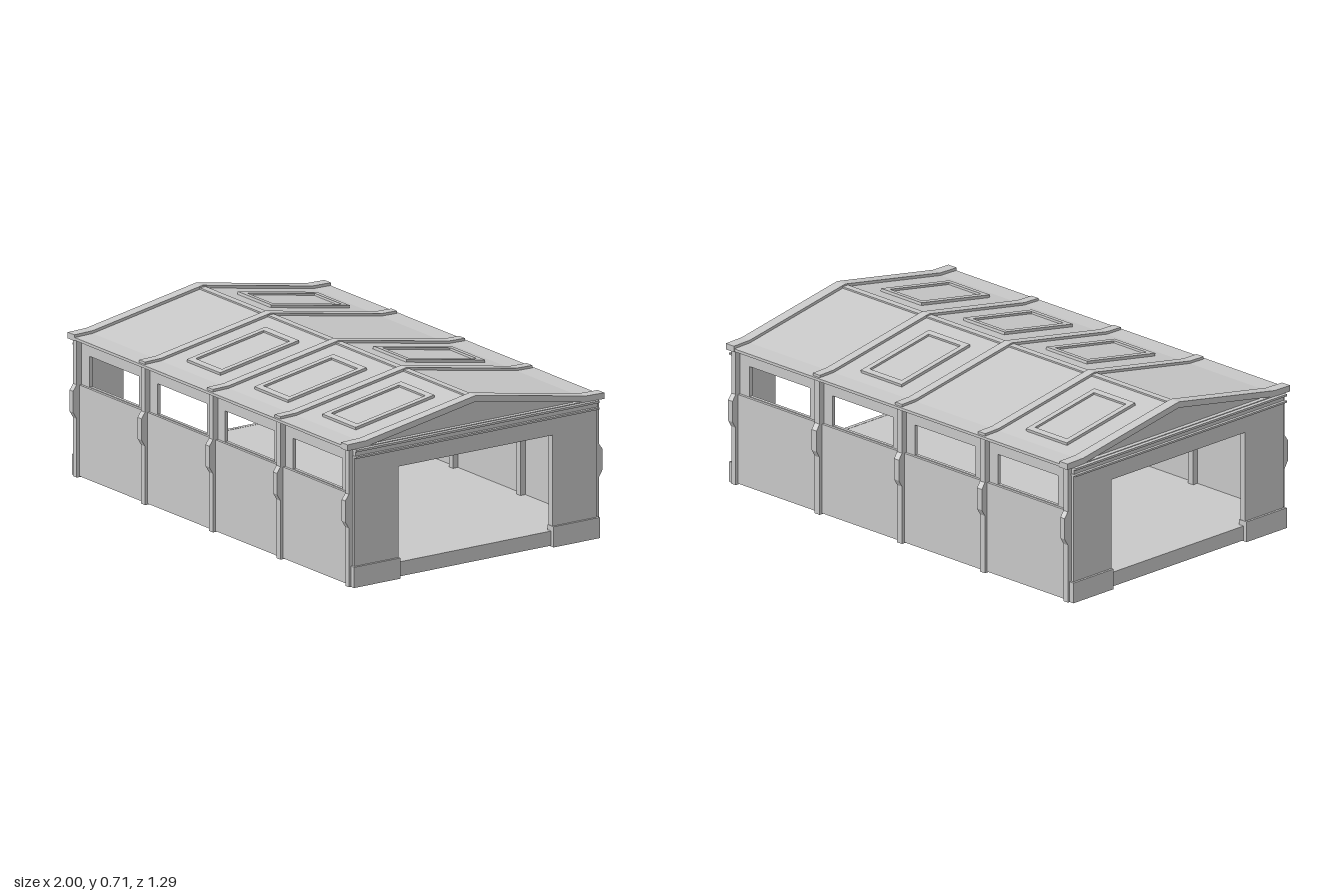
import * as THREE from 'three';

const grey = new THREE.MeshStandardMaterial({ color: 0xc8c8c8 });
grey.name = 'plain grey';

export function createModel() {
  const model = new THREE.Group();
  model.name = 'hall';

  const add = (name, geometry, parent = model) => {
    const mesh = new THREE.Mesh(geometry, grey);
    mesh.name = name;
    parent.add(mesh);
    return mesh;
  };
  // box given by its low and high limits on each axis
  const box = (name, x0, x1, y0, y1, z0, z1) => {
    const g = new THREE.BoxGeometry(Math.abs(x1 - x0), y1 - y0, Math.abs(z1 - z0));
    g.translate((x0 + x1) / 2, (y0 + y1) / 2, (z0 + z1) / 2);
    return add(name, g);
  };
  // cross-section of [z, y] points swept along x
  const sweep = (name, points, x0, x1) => {
    const shape = new THREE.Shape(points.map(([z, y]) => new THREE.Vector2(-z, y)));
    const g = new THREE.ExtrudeGeometry(shape, { depth: x1 - x0, bevelEnabled: false });
    g.rotateY(Math.PI / 2).translate(x0, 0, 0);
    return add(name, g);
  };
  const rectPath = (path, w, h, cx = 0, cy = 0) => {
    path.moveTo(cx - w / 2, cy - h / 2);
    path.lineTo(cx + w / 2, cy - h / 2);
    path.lineTo(cx + w / 2, cy + h / 2);
    path.lineTo(cx - w / 2, cy + h / 2);
    path.closePath();
    return path;
  };

  const bays = [-0.715, -0.238, 0.238, 0.715];
  const posts = [-0.478, 0, 0.475];

  // thin raised floor, open underneath
  box('floor', -0.965, 0.965, 0.055, 0.065, -0.605, 0.605);

  // long walls: thin lower panel, recessed window band, pilasters with a swelling
  const pilaster = (s) => [
    [0.575, 0], [0.625, 0], [0.625, 0.25], [0.643, 0.28], [0.643, 0.37],
    [0.625, 0.395], [0.625, 0.59], [0.575, 0.59],
  ].map(([z, y]) => [z * s, y]);

  for (const s of [1, -1]) {
    box('lowerWall', -0.965, 0.965, 0.004, 0.392, s * 0.6, s * 0.612);

    const band = rectPath(new THREE.Shape(), 1.93, 0.21, 0, 0.49);
    for (const x of bays) band.holes.push(rectPath(new THREE.Path(), 0.348, 0.13, x, 0.46));
    const g = new THREE.ExtrudeGeometry(band, { depth: 0.015, bevelEnabled: false });
    g.translate(0, 0, s > 0 ? 0.585 : -0.6);
    add('windowBand', g);

    for (const x of posts) sweep('pilaster', pilaster(s), x - 0.014, x + 0.014);
    sweep('cornerPilaster', pilaster(s), 0.945, 0.97);
    sweep('cornerPilaster', pilaster(s), -0.97, -0.945);
  }

  // end walls with the wide doorway, base blocks and cornice rails
  const endWall = [
    [0.605, 0], [0.605, 0.59], [-0.605, 0.59], [-0.605, 0],
    [-0.385, 0], [-0.385, 0.475], [0.385, 0.475], [0.385, 0],
  ];
  const gable = [[0.56, 0.588], [0, 0.69], [-0.56, 0.588]];
  for (const e of [1, -1]) {
    const span = (a, b) => (e > 0 ? [a, b] : [-b, -a]);
    sweep('endWall', endWall, ...span(0.955, 0.982));
    sweep('gable', gable, ...span(0.95, 0.962));
    box('threshold', e * 0.958, e * 0.975, 0.004, 0.066, -0.39, 0.39);
    box('corniceBand', e * 0.96, e * 0.987, 0.55, 0.587, -0.605, 0.605);
    box('corniceRail', e * 0.96, e * 1.0, 0.55, 0.558, -0.608, 0.608);
    box('corniceRail', e * 0.96, e * 1.0, 0.578, 0.587, -0.608, 0.608);
    for (const s of [1, -1]) {
      box('baseBlock', e * 0.95, e * 0.992, 0, 0.088, s * 0.383, s * 0.615);
    }
  }

  // roof skin, ribs and ridge: a low gable with short flat eaves
  const roof = (lift, reach, depth) => {
    const top = [[reach, 0.6], [0.55, 0.602], [0, 0.7], [-0.55, 0.602], [-reach, 0.6]];
    const under = top.map(([z, y]) => [z, y + lift - depth]).reverse();
    return [...top.map(([z, y]) => [z, y + lift]), ...under];
  };
  sweep('roofSkin', roof(0, 0.64, 0.012), -0.965, 0.965);
  for (const x of posts) sweep('roofRib', roof(0.011, 0.63, 0.023), x - 0.02, x + 0.02);
  sweep('endRib', roof(0.012, 0.642, 0.026), 0.938, 0.985);
  sweep('endRib', roof(0.012, 0.642, 0.026), -0.985, -0.938);
  box('ridgeCap', -0.94, 0.94, 0.69, 0.704, -0.015, 0.015);

  // skylights: raised frame round a sunken pane
  const slope = Math.atan(0.098 / 0.55);
  const skylight = (x, s) => {
    const group = new THREE.Group();
    group.name = 'skylight';
    const frame = rectPath(new THREE.Shape(), 0.235, 0.4);
    frame.holes.push(rectPath(new THREE.Path(), 0.185, 0.345));
    const g = new THREE.ExtrudeGeometry(frame, { depth: 0.016, bevelEnabled: false });
    g.rotateX(-Math.PI / 2).translate(0, -0.004, 0);
    add('skylightFrame', g, group);
    add('skylightPane', new THREE.BoxGeometry(0.19, 0.006, 0.35), group);
    group.position.set(x, 0.7 - 0.295 * Math.tan(slope), s * 0.295);
    group.rotation.x = s * slope;
    model.add(group);
  };
  for (const x of [-0.238, 0.238, 0.715]) skylight(x, 1);
  for (const x of [-0.715, 0.238]) skylight(x, -1);

  return model;
}
